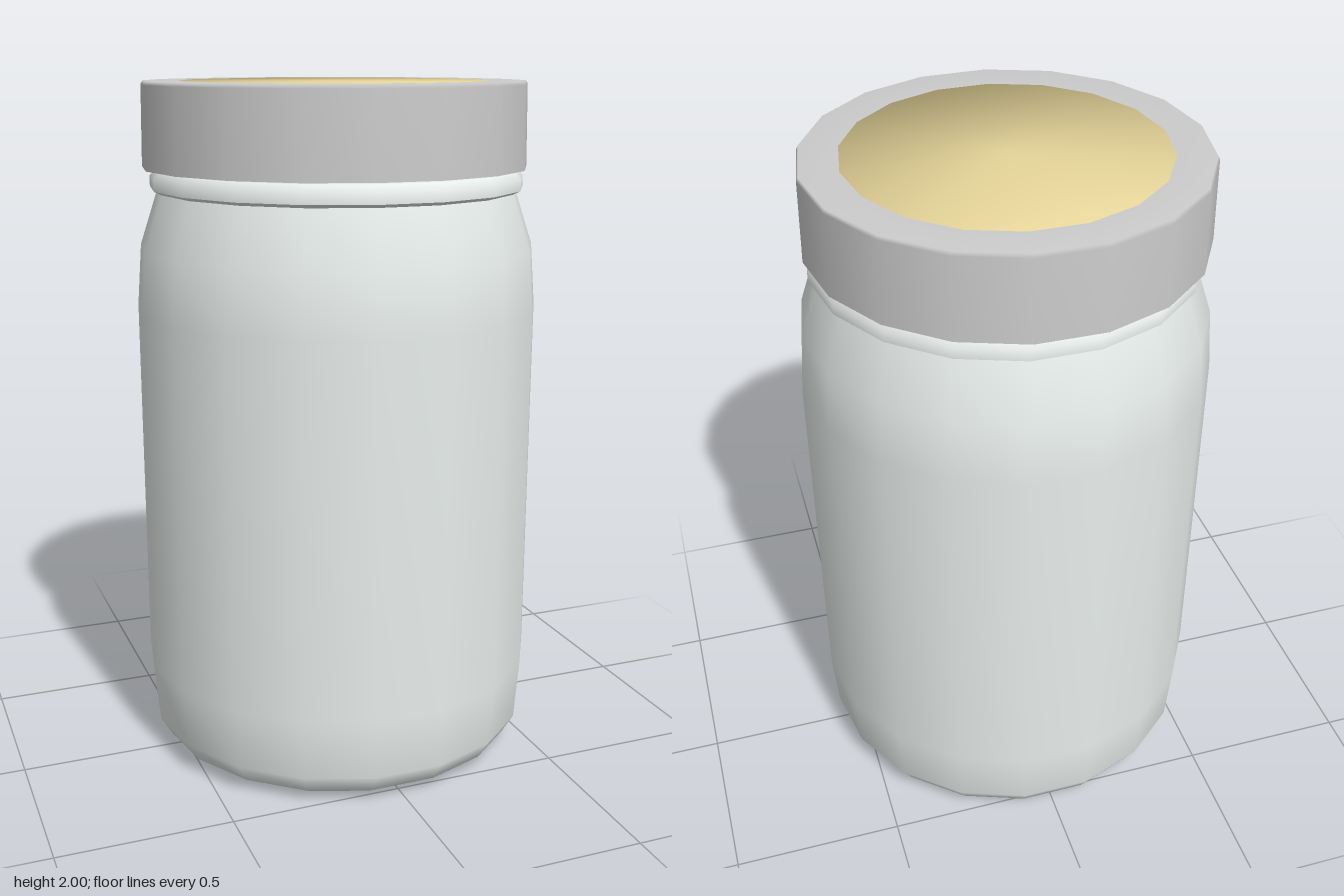
import * as THREE from 'three';

const SIDES = 18;

// Revolve a [radius, height] profile; a repeated point makes a sharp edge.
function turned(name, profile, color) {
  const points = profile.map(([r, y]) => new THREE.Vector2(r, y));
  const geometry = new THREE.LatheGeometry(points, SIDES, Math.PI / 2);
  const material = new THREE.MeshStandardMaterial({ color });
  const mesh = new THREE.Mesh(geometry, material);
  mesh.name = name;
  return mesh;
}

export function createModel() {
  const model = new THREE.Group();
  model.name = 'jar';

  // Glass body: flat base, rounded heel, straight wall, shoulder, neck bead and neck
  const body = turned('glassBody', [
    [0, 0], [0.47, 0], [0.47, 0],
    [0.5, 0.007], [0.545, 0.035], [0.578, 0.09], [0.592, 0.27],
    [0.592, 1.35], [0.578, 1.53], [0.525, 1.69], [0.525, 1.69],
    [0.546, 1.7], [0.546, 1.7], [0.546, 1.73], [0.528, 1.75], [0.528, 1.75],
    [0.515, 1.755], [0.515, 1.9], [0.515, 1.9], [0.4, 1.9],
  ], 0xe8eeec);

  // Screw band: underside lip, outer wall and flat top ring
  const band = turned('lidBand', [
    [0.5, 1.757], [0.561, 1.757], [0.561, 1.757],
    [0.557, 1.99], [0.552, 2], [0.445, 2],
  ], 0xcccccc);

  // Lid insert: softly shaded disc whose skirt drops inside the neck
  const insert = turned('lidInsert', [
    [0.445, 1.56], [0.445, 2], [0, 2],
  ], 0xe4d398);

  // The lid sits very slightly off the body's axis
  const lid = new THREE.Group();
  lid.name = 'lid';
  lid.position.x = -0.006;
  lid.add(band, insert);

  model.add(body, lid);
  return model;
}
